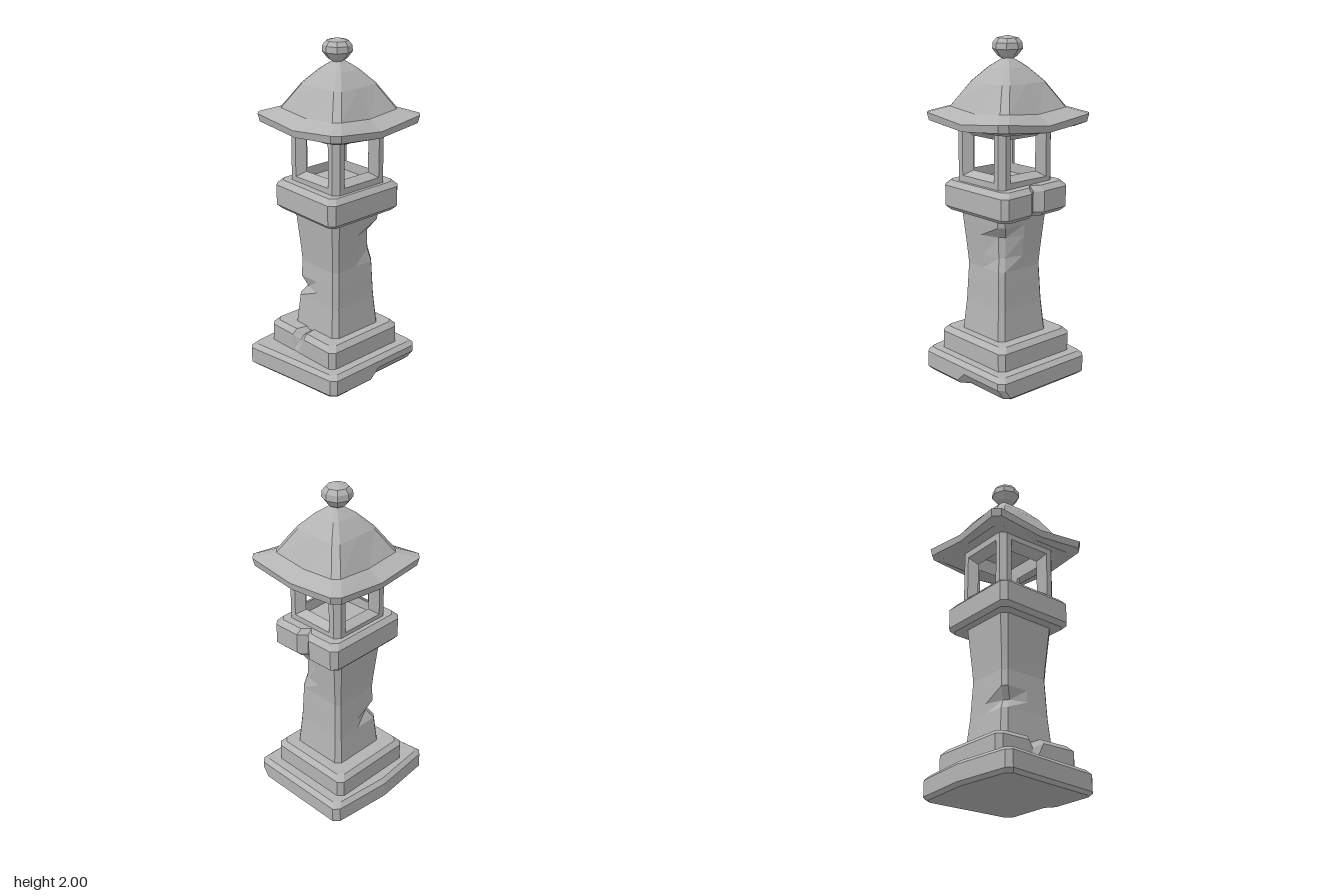
import * as THREE from 'three';

const stone = new THREE.MeshStandardMaterial({ color: 0xb3b3b3, flatShading: true });
stone.name = 'grey stone';

// Mesh from a list of corner triples.
function meshFrom(name, tris) {
  const geo = new THREE.BufferGeometry().setFromPoints(tris);
  geo.computeVertexNormals();
  const mesh = new THREE.Mesh(geo, stone);
  mesh.name = name;
  return mesh;
}

// Square ring with cut corners; extra points on each side at the given fractions.
// sag lowers the middle of each side.
function squareRing([half, y, cut, sag = 0], fracs) {
  const pts = [];
  for (let k = 0; k < 4; k++) {
    for (const f of [-1, ...fracs, 1]) {
      let x = f * (half - cut), z = half;
      for (let i = 0; i < k; i++) [x, z] = [z, -x];
      pts.push(new THREE.Vector3(x, y - sag * (1 - f * f), z));
    }
  }
  return pts;
}

// Stack of rings, capped at both ends, then moved to its centre and worn by a rule.
function loft(name, rows, { fracs = [0], cx = 0, cz = 0, sz = 1, wear } = {}) {
  const rings = rows.map(r => squareRing(r, fracs));
  for (const ring of rings) for (const p of ring) {
    p.set(p.x + cx, p.y, p.z * sz + cz);
    if (wear) wear(p);
  }
  const tris = [], n = rings[0].length;
  for (let i = 0; i < rings.length - 1; i++) {
    for (let j = 0; j < n; j++) {
      const k = (j + 1) % n;
      const a = rings[i][j], b = rings[i][k], c = rings[i + 1][k], d = rings[i + 1][j];
      tris.push(a, b, c, a, c, d);
    }
  }
  const middle = ring => ring.reduce((s, p) => s.add(p), new THREE.Vector3()).divideScalar(n);
  const first = rings[0], last = rings[rings.length - 1];
  const low = middle(first), high = middle(last);
  for (let j = 0; j < n; j++) {
    const k = (j + 1) % n;
    tris.push(low, first[k], first[j], high, last[j], last[k]);
  }
  return meshFrom(name, tris);
}

// Open lantern box: four framed windows with sloped reveals, and cut corners.
function lanternBox() {
  const y0 = 1.16, y1 = 1.54, half = 0.2, flat = 0.17;
  const loop = (w, lo, hi, d) => [[-w, lo], [w, lo], [w, hi], [-w, hi]]
    .map(([x, y]) => new THREE.Vector3(x, y, d));
  const loops = [
    loop(flat, y0, y1, half),
    loop(0.135, 1.21, 1.485, half),
    loop(0.098, 1.24, 1.44, 0.15),
    loop(0.15, y0, y1, 0.15),
  ];
  const side = [];
  for (let i = 0; i < 3; i++) {
    for (let j = 0; j < 4; j++) {
      const k = (j + 1) % 4;
      const a = loops[i][j], b = loops[i][k], c = loops[i + 1][k], d = loops[i + 1][j];
      side.push(a, b, c, a, c, d);
    }
  }
  // corner cut on the right of the side
  const p = (x, y, z) => new THREE.Vector3(x, y, z);
  side.push(p(flat, y0, half), p(half, y0, flat), p(half, y1, flat),
    p(flat, y0, half), p(half, y1, flat), p(flat, y1, half));
  const group = new THREE.Group();
  group.name = 'lanternBox';
  for (let k = 0; k < 4; k++) {
    const m = meshFrom('windowFrame', side);
    m.rotation.y = k * Math.PI / 2;
    group.add(m);
  }
  group.position.set(0.018, 0, -0.035);
  return group;
}

export function createModel() {
  const model = new THREE.Group();
  model.name = 'stoneLantern';

  // Ground slab: skewed front, bowed right side, broken lower edge on the left
  model.add(loft('baseSlab', [
    [0.335, 0, 0.03], [0.355, 0.02, 0.03], [0.355, 0.075, 0.03],
    [0.355, 0.115, 0.03], [0.33, 0.14, 0.03],
  ], {
    fracs: [0, 0.16], sz: 1.09,
    wear(p) {
      if (p.x > 0.3 && p.z < -0.04 && p.y < 0.05) p.x -= 0.04;
      if (p.z > 0) p.z -= (p.x + 0.31) * 0.125 * p.z / 0.39;
      if (p.x < 0) p.x += 0.035 * Math.min(1, Math.abs(p.z) / 0.36);
    },
  }));

  // Upper step with a nick in its front top edge
  model.add(loft('step', [
    [0.277, 0.13, 0.03], [0.277, 0.245, 0.03], [0.25, 0.275, 0.03],
  ], {
    fracs: [-0.28, -0.1, 0.12], cx: 0.003, cz: -0.027,
    wear(p) {
      if (p.z > 0.2 && p.y > 0.2 && Math.abs(p.x + 0.022) < 0.015) { p.y -= 0.03; p.z -= 0.025; }
    },
  }));

  // Waisted pillar with two chipped corners
  model.add(loft('pillar', [
    [0.185, 0.26, 0.03], [0.167, 0.45, 0.026], [0.164, 0.51, 0.026], [0.161, 0.58, 0.026],
    [0.156, 0.68, 0.025], [0.162, 0.76, 0.026], [0.173, 0.88, 0.028],
    [0.18, 0.95, 0.03], [0.186, 1.02, 0.03],
  ], {
    cx: 0.02, cz: -0.03,
    wear(p) {
      if (p.x < -0.08 && p.z > 0.07 && Math.abs(p.y - 0.51) < 0.02) { p.x += 0.035; p.z -= 0.03; }
      if (p.x > 0.12 && p.z < -0.13 && p.y > 0.7 && p.y < 0.92) {
        const d = p.y > 0.8 ? 0.035 : 0.022;
        p.x -= d; p.z += d;
      }
    },
  }));

  // Slightly tilted platform with a notch in its back
  model.add(loft('platform', [
    [0.225, 1.005, 0.03], [0.248, 1.03, 0.03], [0.248, 1.15, 0.03], [0.222, 1.18, 0.03],
  ], {
    fracs: [-0.22, 0, 0.22], cx: 0.015, cz: -0.036, sz: 1.11,
    wear(p) {
      if (p.z < -0.25 && Math.abs(p.x - 0.015) < 0.02) p.z += 0.04;
      p.y -= 0.03 * p.x;
    },
  }));

  model.add(lanternBox());

  // Curved roof with upturned eave corners
  model.add(loft('roof', [
    [0.18, 1.53, 0.03], [0.285, 1.5, 0.035, 0.005], [0.335, 1.525, 0.04, 0.03],
    [0.343, 1.57, 0.04, 0.035], [0.247, 1.605, 0.035, 0.02], [0.161, 1.745, 0.03],
    [0.088, 1.825, 0.02], [0.018, 1.88, 0.006],
  ], { cx: 0.009, cz: -0.052 }));

  // Faceted knob on top
  const knob = [[0, 1.865], [0.03, 1.87], [0.055, 1.885], [0.086, 1.925], [0.083, 1.96], [0.062, 1.985], [0, 2]];
  const finial = new THREE.Mesh(
    new THREE.LatheGeometry(knob.map(([r, y]) => new THREE.Vector2(r, y)), 8), stone);
  finial.name = 'finial';
  finial.position.set(0.005, 0, -0.044);
  model.add(finial);

  return model;
}
